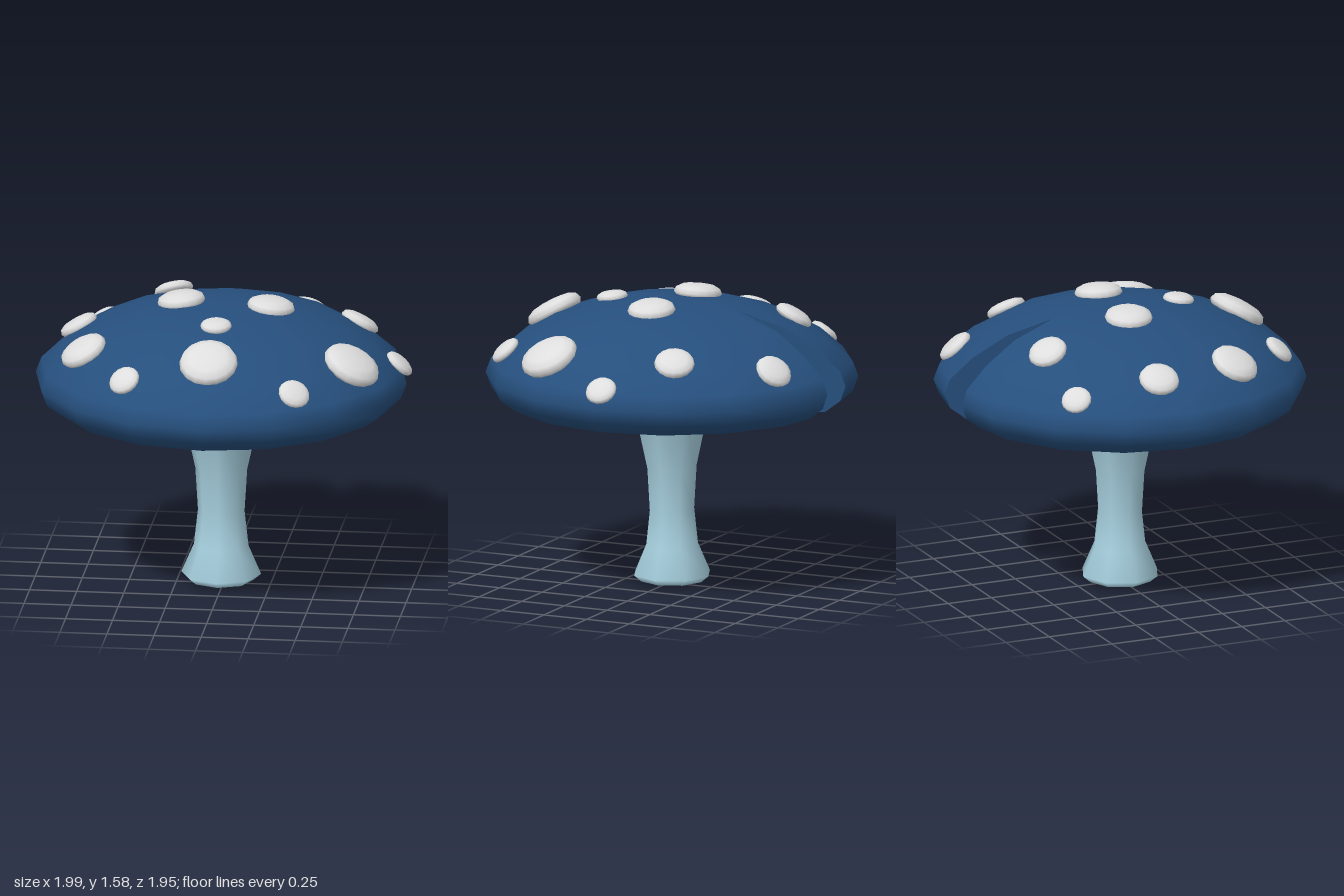
import * as THREE from 'three';
import { mergeVertices } from 'three/addons/utils/BufferGeometryUtils.js';

const capBlue = new THREE.MeshStandardMaterial({ color: 0x264f7d });
capBlue.name = 'capBlue';
const stemBlue = new THREE.MeshStandardMaterial({ color: 0xa6cfde });
stemBlue.name = 'stemPaleBlue';
const spotWhite = new THREE.MeshStandardMaterial({ color: 0xdddddd });
spotWhite.name = 'spotWhite';

const vec2 = (list) => list.map(([r, y]) => new THREE.Vector2(r, y));
const CENTRE = -0.013;   // shared axis of cap and stem, in x and z
const TIP = 0.385;       // distance of the notch tip from the axis
const RIM = 0.985;

// Cap profile: underside centre, round the rim, up to the crown
const capProfile = [
  [0, 1.0], [TIP, 0.99], [0.64, 0.967], [0.87, 0.987], [0.955, 1.05], [RIM, 1.13],
  [0.955, 1.21], [0.83, 1.32], [0.64, 1.43], [TIP, 1.507], [0.2, 1.53], [0, 1.535],
];

const notchHalfWidth = (r) => Math.max(0, (r - TIP) / (RIM - TIP)) * 0.112;
const notchPoint = (r, side) => {
  const w = notchHalfWidth(r);
  return [side * w, -(r - 0.2 * w)];
};

// Sixteen-sided cap whose first and last columns are pulled apart at the back
function capGeometry() {
  const n = capProfile.length;
  const geometry = new THREE.LatheGeometry(vec2(capProfile), 16, Math.PI, Math.PI * 2);
  const position = geometry.attributes.position;
  capProfile.forEach(([r, y], j) => {
    for (const [column, side] of [[0, -1], [16, 1]]) {
      const [x, z] = notchPoint(r, side);
      position.setXYZ(column * n + j, x, y, z);
    }
  });
  geometry.deleteAttribute('normal');
  geometry.deleteAttribute('uv');
  const merged = mergeVertices(geometry, 1e-5);
  merged.computeVertexNormals();
  return merged;
}

// Flat wall of the notch: a fan over the cap's cross-section outside the tip
function notchWallGeometry(side) {
  const points = capProfile.filter(([r]) => r >= TIP);
  const vertices = [];
  for (const [r, y] of points) {
    const [x, z] = notchPoint(r, side);
    vertices.push(x, y, z);
  }
  const index = [];
  for (let i = 1; i < points.length - 1; i++) {
    if (side > 0) index.push(0, i + 1, i);
    else index.push(0, i, i + 1);
  }
  const geometry = new THREE.BufferGeometry();
  geometry.setAttribute('position', new THREE.Float32BufferAttribute(vertices, 3));
  geometry.setIndex(index);
  geometry.computeVertexNormals();
  return geometry;
}

// Height and slope angle of the cap's upper surface at radius r
function capSurface(r) {
  const top = capProfile.slice(5).reverse();
  let i = 0;
  while (i < top.length - 2 && r > top[i + 1][0]) i++;
  const [r0, y0] = top[i], [r1, y1] = top[i + 1];
  const slope = (y1 - y0) / (r1 - r0);
  return { y: y0 + slope * (r - r0), tilt: Math.atan(-slope) };
}

export function createModel() {
  const model = new THREE.Group();
  model.name = 'mushroom';
  const body = new THREE.Group();
  body.name = 'body';
  body.position.set(CENTRE, 0, CENTRE);
  model.add(body);

  const add = (parent, name, geometry, material) => {
    const mesh = new THREE.Mesh(geometry, material);
    mesh.name = name;
    parent.add(mesh);
    return mesh;
  };

  // Cap with its notch
  add(body, 'cap', capGeometry(), capBlue);
  const walls = [['notchWallLeft', 1], ['notchWallRight', -1]];
  for (const [name, side] of walls) {
    const wall = add(body, name, notchWallGeometry(side), capBlue);
    wall.material = capBlue;
  }

  // Stem, flaring into the underside of the cap
  const stemProfile = vec2([
    [0.17, 0.02], [0.212, 0.055], [0.145, 0.21], [0.124, 0.4], [0.138, 0.63],
    [0.205, 0.93], [0.25, 0.967], [0.34, 0.98], [0.47, 0.983],
  ]);
  add(body, 'stem', new THREE.LatheGeometry(stemProfile, 8), stemBlue);
  add(body, 'stemBase', new THREE.LatheGeometry(vec2([[0, 0.003], [0.17, 0.02]]), 8), capBlue);

  // Raised spots: x, z, radius
  const spots = [
    [0.37, -0.79, 0.1], [-0.7, -0.57, 0.08], [-0.33, -0.57, 0.105], [0.68, -0.36, 0.107],
    [-0.78, -0.13, 0.107], [-0.23, -0.06, 0.127], [0.25, -0.02, 0.127], [0.925, -0.05, 0.084],
    [-0.7, 0.34, 0.13], [0, 0.33, 0.083], [0.72, 0.35, 0.157], [-0.44, 0.71, 0.085],
    [0, 0.665, 0.155], [0.46, 0.73, 0.085],
  ];
  const spotGeometry = new THREE.LatheGeometry(vec2([
    [0, -0.9], [0.6, -0.75], [0.92, -0.4], [1, 0], [0.92, 0.5], [0.66, 0.85], [0.3, 0.98], [0, 1],
  ]), 16);
  const up = new THREE.Vector3(0, 1, 0);
  const spotGroup = new THREE.Group();
  spotGroup.name = 'spots';
  model.add(spotGroup);
  spots.forEach(([x, z, radius], i) => {
    const r = Math.hypot(x - CENTRE, z - CENTRE);
    const { y, tilt } = capSurface(r);
    const s = Math.sin(tilt) / r;
    const normal = new THREE.Vector3((x - CENTRE) * s, Math.cos(tilt), (z - CENTRE) * s);
    const spot = add(spotGroup, `spot${i + 1}`, spotGeometry, spotWhite);
    spot.position.set(x, y, z).addScaledVector(normal, 0.005);
    spot.quaternion.setFromUnitVectors(up, normal.normalize());
    spot.scale.set(radius, radius * 0.38, radius);
  });
  return model;
}
